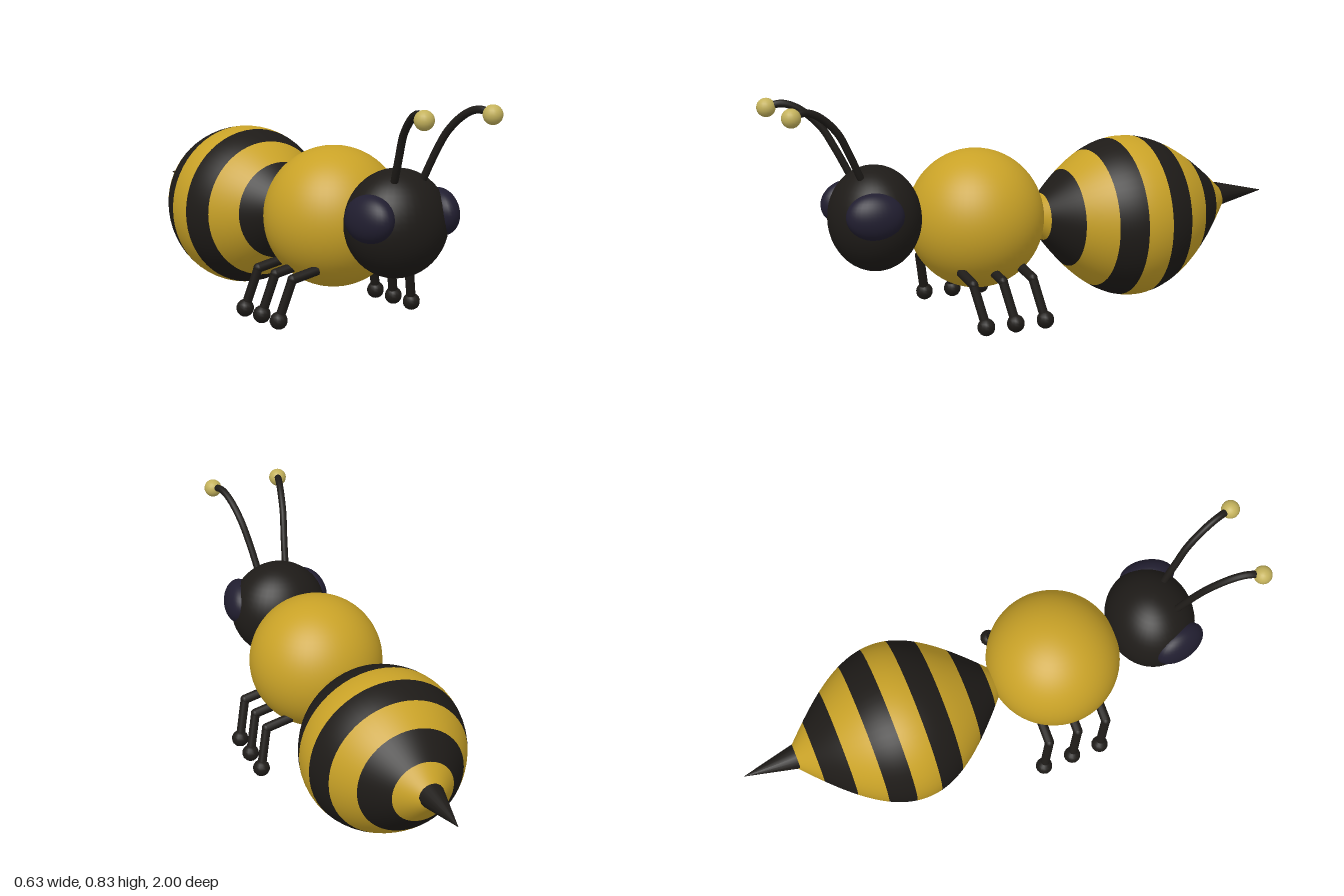
import * as THREE from 'three';

const paint = (color) => new THREE.MeshStandardMaterial({ color });
const yellow = paint(0xc9a227), black = paint(0x1e1b18), violet = paint(0x211e30), pale = paint(0xc4b25c);
const V = (x, y, z) => new THREE.Vector3(x, y, z);

function add(parent, name, geometry, material, position = V(0, 0, 0)) {
  const mesh = new THREE.Mesh(geometry, material);
  mesh.name = name;
  mesh.position.copy(position);
  parent.add(mesh);
  return mesh;
}

function ball(parent, name, material, position, rx, ry = rx, rz = rx, segments = 40) {
  const mesh = add(parent, name, new THREE.SphereGeometry(1, segments, Math.ceil(segments * 0.6)), material, position);
  mesh.scale.set(rx, ry, rz);
  return mesh;
}

// Straight rod between two points
function rod(parent, name, a, b, radius) {
  const mesh = add(parent, name, new THREE.CylinderGeometry(radius, radius, a.distanceTo(b), 12), black, a.clone().lerp(b, 0.5));
  mesh.quaternion.setFromUnitVectors(V(0, 1, 0), b.clone().sub(a).normalize());
}

// Spindle-shaped abdomen: one lathed band per stripe, ends bent upward
function abdomen(parent) {
  const group = new THREE.Group();
  group.name = 'abdomen';
  parent.add(group);
  const mid = -0.39;
  const along = (z) => (z - mid) / (z > mid ? 0.43 : 0.45);
  const radius = (z) => Math.max(0, 0.303 * Math.cos(Math.PI / 2 * along(z)));
  const cuts = [-0.84, -0.727, -0.63, -0.532, -0.434, -0.335, -0.236, -0.136, -0.04, 0.03];
  for (let i = 0; i < cuts.length - 1; i++) {
    const profile = [];
    for (let k = 0; k <= 8; k++) {
      const z = THREE.MathUtils.lerp(cuts[i], cuts[i + 1], k / 8);
      profile.push(new THREE.Vector2(radius(z), z));
    }
    const band = new THREE.LatheGeometry(profile, 56).rotateX(Math.PI / 2);
    const p = band.attributes.position;
    for (let k = 0; k < p.count; k++) p.setY(k, p.getY(k) + 0.317 + 0.04 * along(p.getZ(k)) ** 2);
    add(group, 'abdomenStripe', band, i % 2 ? black : yellow);
  }
}

export function createModel() {
  const model = new THREE.Group();
  model.name = 'bee';

  ball(model, 'head', black, V(0, 0.4, 0.62), 0.188, 0.19, 0.165);
  ball(model, 'thorax', yellow, V(0, 0.365, 0.228), 0.254, 0.255, 0.25, 56);
  abdomen(model);

  const sting = new THREE.ConeGeometry(0.047, 0.205, 16).rotateX(-Math.PI / 2);
  add(model, 'stinger', sting, black, V(0, 0.363, -0.895));

  for (const s of [1, -1]) {
    const side = s > 0 ? 'left' : 'right';

    const eye = ball(model, side + 'Eye', violet, V(s * 0.147, 0.435, 0.672), 0.058, 0.083, 0.103, 32);
    eye.rotation.set(0, -s * 0.22, s * 0.12);

    // Antenna arching forward to a round tip
    const path = new THREE.CatmullRomCurve3([
      V(s * 0.059, 0.555, 0.69), V(s * 0.073, 0.645, 0.735), V(s * 0.09, 0.73, 0.785),
      V(s * 0.109, 0.795, 0.86), V(s * 0.123, 0.813, 0.915), V(s * 0.138, 0.8, 0.965),
    ]);
    add(model, side + 'Antenna', new THREE.TubeGeometry(path, 32, 0.0135, 12), black);
    ball(model, side + 'AntennaTip', pale, V(s * 0.138, 0.8, 0.965), 0.034, 0.034, 0.034, 20);

    // Three bent legs
    for (const z of [0.315, 0.2, 0.083]) {
      const leg = new THREE.Group();
      leg.name = side + 'Leg';
      model.add(leg);
      const hip = V(s * 0.148, 0.203, z + 0.035);
      const knee = V(s * 0.249, 0.181, z + 0.033);
      const foot = V(s * 0.285, 0.032, z);
      rod(leg, 'upperLeg', hip, knee, 0.018);
      rod(leg, 'lowerLeg', knee, foot, 0.017);
      ball(leg, 'knee', black, knee, 0.018, 0.018, 0.018, 12);
      ball(leg, 'foot', black, foot, 0.032, 0.032, 0.032, 14);
    }
  }
  return model;
}
